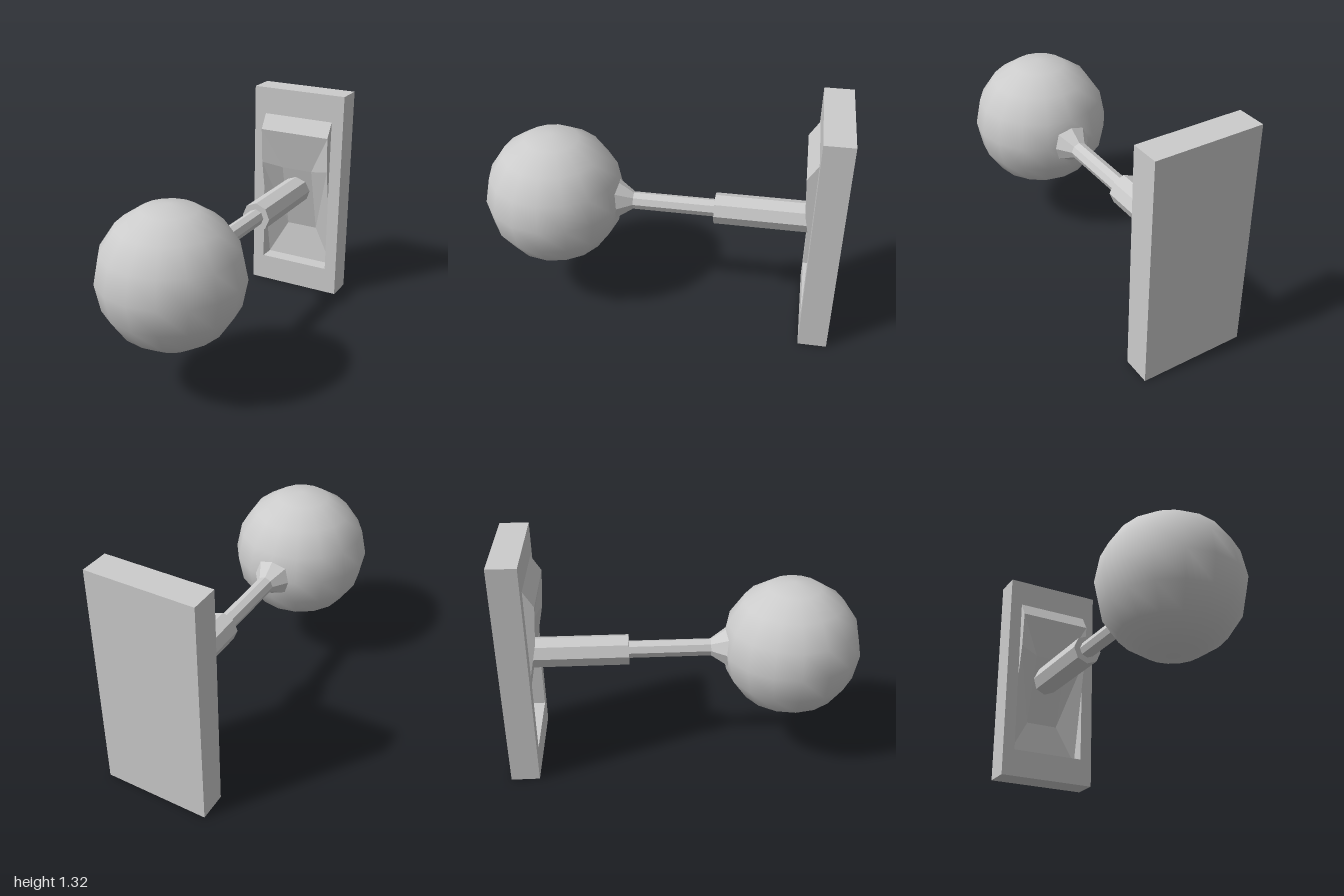
import * as THREE from 'three';

const grey = new THREE.MeshStandardMaterial({ color: 0xcccccc });
const flat = new THREE.MeshStandardMaterial({ color: 0xcccccc, flatShading: true });
const thin = new THREE.MeshStandardMaterial({ color: 0xcccccc, flatShading: true, side: THREE.DoubleSide });
const ARM_Y = 0.667;

function rect(path, x0, y0, x1, y1) {
  path.moveTo(x0, y0);
  path.lineTo(x1, y0);
  path.lineTo(x1, y1);
  path.lineTo(x0, y1);
  path.closePath();
  return path;
}

// Eight-sided bar along z, from z0 (radius r0) to z1 (radius r1)
function bar(name, r0, r1, z0, z1) {
  const geo = new THREE.CylinderGeometry(r1, r0, z1 - z0, 8).rotateX(Math.PI / 2);
  const mesh = new THREE.Mesh(geo, flat);
  mesh.name = name;
  mesh.position.set(0, ARM_Y, (z0 + z1) / 2);
  return mesh;
}

// Tilted paddle with a beveled top and a sunken middle; points are [half width, y, z]
function rockerGeometry() {
  const cx = 0.01, w = 0.225, inner = 0.1;
  const top = [w, 1.15, -0.84], ridge = [w, 1.06, -0.785];
  const mid = [w, 0.84, -0.8], bottom = [w, 0.165, -0.935];
  const backTop = [w, 1.15, -0.96], backBottom = [w, 0.165, -0.96];
  const dishTop = [inner, 0.81, -0.844], dishBottom = [inner, 0.39, -0.955];
  const positions = [];
  const put = ([x, y, z], side) => positions.push(cx + side * x, y, z);
  const tri = (a, b, c, side) => (side > 0 ? [a, b, c] : [a, c, b]).forEach(p => put(p, side));

  // Faces spanning the full width, stepping down the front
  const span = (a, b) => {
    put(a, -1); put(b, -1); put(b, 1);
    put(a, -1); put(b, 1); put(a, 1);
  };
  span(backTop, top);
  span(top, ridge);
  span(ridge, dishTop);
  span(dishTop, dishBottom);
  span(dishBottom, bottom);
  span(bottom, backBottom);

  // Mirrored dish flanks and outer walls
  for (const side of [-1, 1]) {
    tri(ridge, dishTop, mid, side);
    tri(mid, dishTop, dishBottom, side);
    tri(mid, dishBottom, bottom, side);
    tri(top, ridge, mid, side);
    tri(top, mid, bottom, side);
    tri(top, bottom, backBottom, side);
    tri(top, backBottom, backTop, side);
  }
  const geo = new THREE.BufferGeometry();
  geo.setAttribute('position', new THREE.Float32BufferAttribute(positions, 3));
  geo.computeVertexNormals();
  return geo;
}

export function createModel() {
  const model = new THREE.Group();
  const add = (name, geo, mat, x = 0, y = 0, z = 0) => {
    const mesh = new THREE.Mesh(geo, mat);
    mesh.name = name;
    mesh.position.set(x, y, z);
    model.add(mesh);
  };

  // Wall plate: a solid back with a framed opening in front
  const frame = rect(new THREE.Shape(), -0.29, 0, 0.31, 1.316);
  frame.holes.push(rect(new THREE.Path(), -0.215, 0.165, 0.235, 1.15));
  add('plateFrame', new THREE.ExtrudeGeometry(frame, { depth: 0.12, bevelEnabled: false }), flat, 0, 0, -0.96);
  add('plateBack', new THREE.BoxGeometry(0.6, 1.316, 0.04), flat, 0.01, 0.658, -0.98);

  // Rocker paddle in the opening
  add('rocker', rockerGeometry(), thin);

  // Stepped arm and the flared collar under the ball
  model.add(bar('armSleeve', 0.088, 0.088, -0.94, -0.31));
  model.add(bar('armRod', 0.05, 0.05, -0.32, 0.24));
  model.add(bar('collar', 0.05, 0.115, 0.15, 0.245));

  // Ball at the end of the arm
  add('ball', new THREE.SphereGeometry(0.394, 16, 8), grey, 0, ARM_Y, 0.606);
  return model;
}
